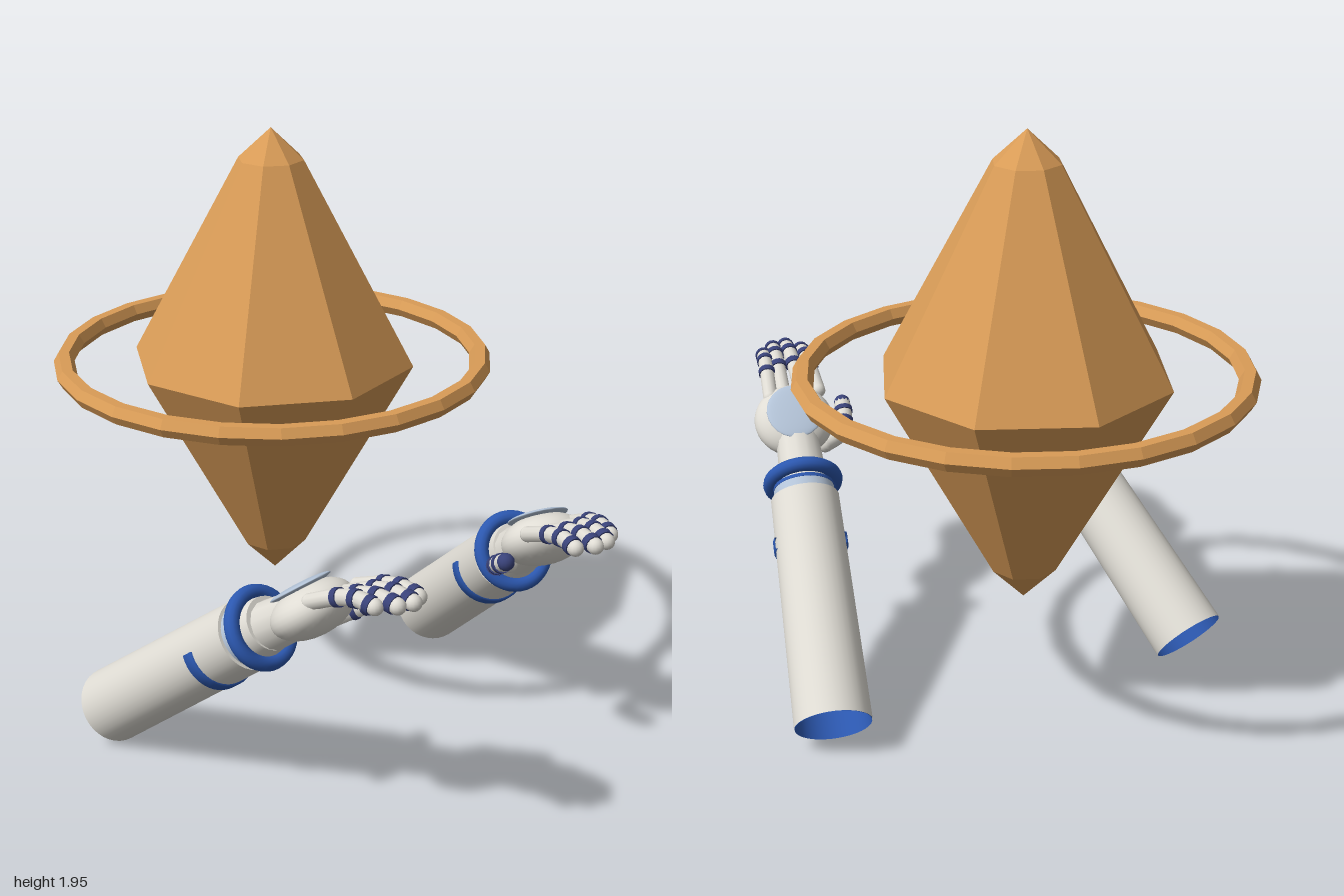
import * as THREE from 'three';

const mat = (name, color, extra = {}) => {
  const m = new THREE.MeshStandardMaterial({ color, ...extra });
  m.name = name;
  return m;
};
const V = (x, y, z) => new THREE.Vector3(x, y, z);

export function createModel() {
  const amber = mat('amber', 0xd99c57, { flatShading: true });
  const white = mat('warm white', 0xdfdcd4);
  const blue = mat('blue', 0x2c58b0, { side: THREE.DoubleSide });
  const paleBlue = mat('pale blue', 0xb4c4d8);
  const navy = mat('navy', 0x394279);

  const model = new THREE.Group();
  model.name = 'floatingCrystalAndArms';
  const add = (parent, name, geo, material, pos) => {
    const m = new THREE.Mesh(geo, material);
    m.name = name;
    if (pos) m.position.copy(pos);
    parent.add(m);
    return m;
  };

  // Eight-sided crystal with small blunt tips
  const profile = [[0, -0.765], [0.107, -0.655], [0.467, 0], [0.107, 0.665], [0, 0.765]];
  add(model, 'crystal', new THREE.LatheGeometry(profile.map(p => new THREE.Vector2(...p)), 8),
    amber, V(0, 1.193, -0.28));

  // Faceted ring around the crystal
  const ring = add(model, 'crystalRing', new THREE.TorusGeometry(0.683, 0.034, 6, 24), amber, V(0, 1.193, -0.28));
  ring.rotation.x = Math.PI / 2;

  // Cylinder between two points
  const up = V(0, 1, 0);
  const rod = (parent, name, a, b, r0, r1, material) => {
    const d = b.clone().sub(a);
    const m = add(parent, name, new THREE.CylinderGeometry(r1, r0, d.length(), 14), material,
      a.clone().add(b).multiplyScalar(0.5));
    m.quaternion.setFromUnitVectors(up, d.normalize());
  };

  // Jointed finger: white links, navy joint bands, round tip
  const finger = (parent, name, points, r, bands, tipMaterial) => {
    const g = new THREE.Group();
    g.name = name;
    parent.add(g);
    const curve = new THREE.CatmullRomCurve3(points);
    add(g, 'fingerLinks', new THREE.TubeGeometry(curve, 14, r, 12), white);
    for (const t of bands) {
      rod(g, 'jointBand', curve.getPointAt(t - 0.04), curve.getPointAt(t + 0.04), r + 0.004, r + 0.004, navy);
    }
    add(g, 'fingerTip', new THREE.SphereGeometry(r, 14, 10), tipMaterial, points[points.length - 1]);
    add(g, 'knuckle', new THREE.SphereGeometry(r, 14, 10), white, points[0]);
  };

  // Start and tip of each finger: base x, base z, tip x, tip y, tip z
  const fingers = [
    [0.487, 0.69, 0.425, 0.912, 0.925],
    [0.435, 0.70, 0.377, 0.918, 0.965],
    [0.37, 0.70, 0.328, 0.918, 0.972],
    [0.315, 0.68, 0.284, 0.908, 0.935],
  ];

  for (const s of [1, -1]) {
    const arm = new THREE.Group();
    arm.name = s > 0 ? 'leftArm' : 'rightArm';
    model.add(arm);

    // Forearm frame: y along the arm, z towards the palm side
    const axis = V(-0.197 * s, 0.613, 0.764).normalize();
    const across = V(axis.z, 0, -axis.x).normalize();
    const frame = new THREE.Group();
    frame.name = 'forearm';
    frame.quaternion.setFromRotationMatrix(
      new THREE.Matrix4().makeBasis(across, axis, across.clone().cross(axis)));
    frame.position.set(0.652 * s, 0.105, -0.25);
    arm.add(frame);

    // Hollow sleeve with blue lining
    add(frame, 'sleeve', new THREE.CylinderGeometry(0.114, 0.125, 0.8, 36, 1, true), white, V(0, 0.4, 0));
    add(frame, 'sleeveLining', new THREE.CylinderGeometry(0.112, 0.123, 0.8, 36, 1, true), blue, V(0, 0.4, 0));
    add(frame, 'sleeveEnd', new THREE.CylinderGeometry(0.114, 0.114, 0.01, 36), white, V(0, 0.8, 0));

    // Blue band wrapped under the sleeve
    const band = [[0.112, -0.02], [0.123, -0.02], [0.123, 0.02], [0.112, 0.02]];
    const arc = Math.PI * 1.17;
    add(frame, 'sleeveBand', new THREE.LatheGeometry(band.map(p => new THREE.Vector2(...p)), 24, -arc / 2, arc),
      blue, V(0, 0.635, 0));

    // Cuff, collar and wrist ring
    add(frame, 'paleCuff', new THREE.CylinderGeometry(0.1, 0.104, 0.05, 36), paleBlue, V(0, 0.825, 0));
    add(frame, 'cuffStripe', new THREE.CylinderGeometry(0.102, 0.102, 0.012, 36), blue, V(0, 0.845, 0));
    add(frame, 'collar', new THREE.CylinderGeometry(0.085, 0.096, 0.07, 32), white, V(0, 0.88, 0));
    const wristRing = add(frame, 'wristRing', new THREE.TorusGeometry(0.11, 0.024, 12, 40), blue, V(0, 0.868, 0));
    wristRing.rotation.x = Math.PI / 2 + 0.1;

    // Wrist, flattened palm and plate on the back of the hand
    rod(arm, 'wrist', V(0.47 * s, 0.65, 0.44), V(0.437 * s, 0.755, 0.585), 0.08, 0.07, white);
    const hand = new THREE.Group();
    hand.name = 'hand';
    hand.position.set(0.43 * s, 0.775, 0.62);
    hand.quaternion.copy(frame.quaternion);
    arm.add(hand);
    add(hand, 'palm', new THREE.SphereGeometry(1, 32, 20), white).scale.set(0.135, 0.133, 0.08);
    add(hand, 'handPlate', new THREE.SphereGeometry(1, 32, 12), paleBlue, V(0, -0.005, -0.074))
      .scale.set(0.096, 0.102, 0.013);

    // Four fingers and a thumb
    fingers.forEach(([bx, bz, tx, ty, tz], i) => {
      const at = (t, y) => V(s * THREE.MathUtils.lerp(bx, tx, t), y, THREE.MathUtils.lerp(bz, tz, t));
      finger(arm, 'finger' + (i + 1), [at(0, 0.845), at(0.45, ty - 0.015), at(0.75, ty + 0.004), at(1, ty)],
        0.025, [0.46, 0.72, 0.93], white);
    });
    finger(arm, 'thumb',
      [V(0.34 * s, 0.69, 0.565), V(0.275 * s, 0.71, 0.585), V(0.24 * s, 0.745, 0.635), V(0.224 * s, 0.779, 0.69)],
      0.028, [0.4, 0.62, 0.83], navy);
  }
  return model;
}
